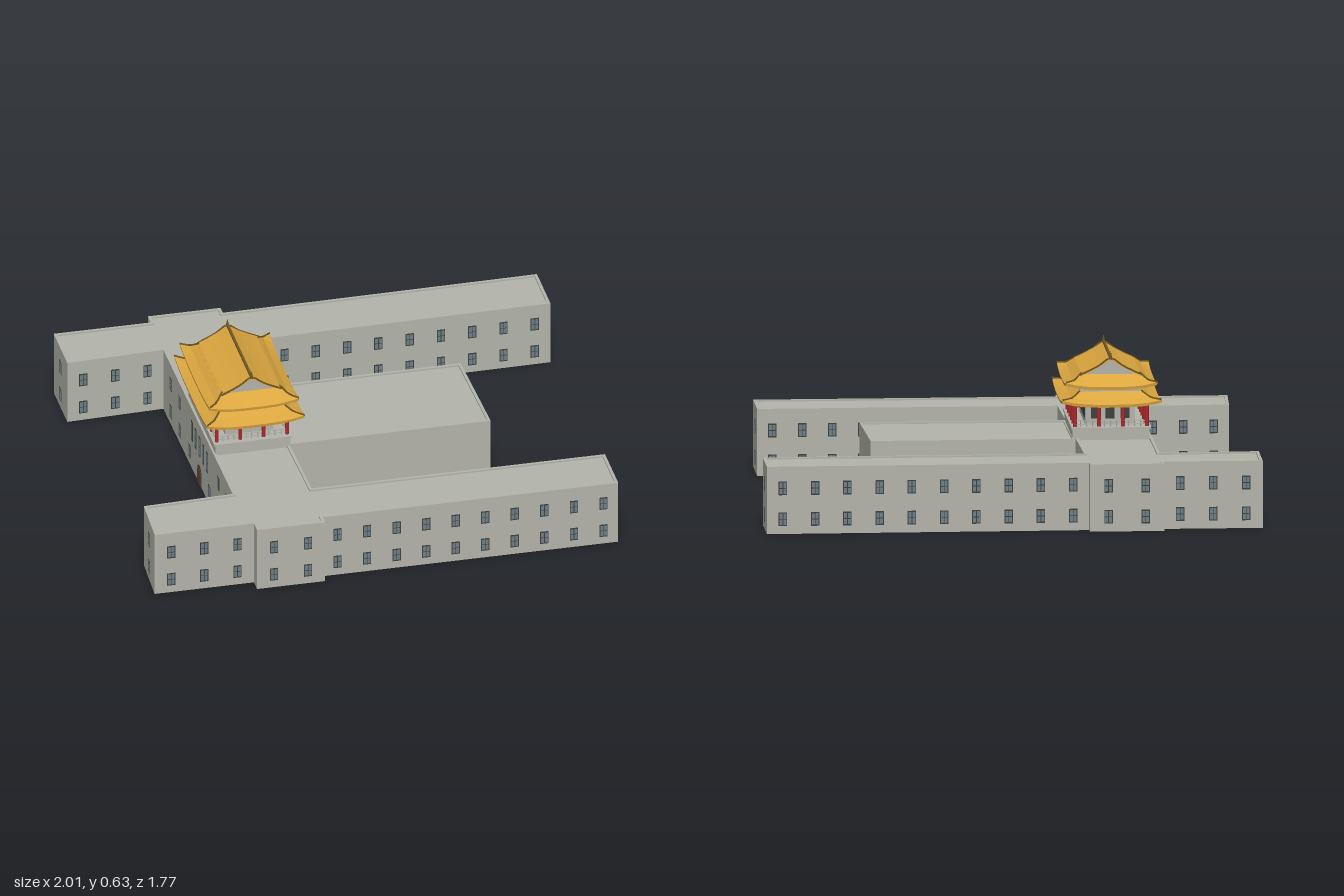
import * as THREE from 'three';
import { mergeGeometries } from 'three/addons/utils/BufferGeometryUtils.js';

const mat = (name, color, side = THREE.FrontSide) => {
  const m = new THREE.MeshStandardMaterial({ color, side });
  m.name = name;
  return m;
};

export function createModel() {
  const stone = mat('stone', 0xb3b4aa, THREE.DoubleSide);
  const gold = mat('goldTile', 0xdba63f, THREE.DoubleSide);
  const ridgeBrown = mat('ridgeBrown', 0x6e5523);
  const red = mat('redLacquer', 0xb0282b);
  const frameDark = mat('windowFrame', 0x3e423f);
  const glass = mat('glass', 0x6d7f88);
  const wood = mat('doorWood', 0x6b4a30);

  const model = new THREE.Group();
  model.name = 'courtyardBuilding';
  const add = (parent, name, geo, material) => {
    const m = new THREE.Mesh(geo, material);
    m.name = name;
    parent.add(m);
    return m;
  };
  const box = (w, h, d, x, y, z) => new THREE.BoxGeometry(w, h, d).translate(x, y, z);

  // Walls: outline extruded upward, with a thin parapet around a slightly sunken roof
  const T = 0.012, H = 0.274;
  const inset = (pts, t) => pts.map((p, i) => {
    const n = pts.length, a = pts[(i + n - 1) % n], b = pts[(i + 1) % n];
    const normal = (u, v) => {
      const l = Math.hypot(v[0] - u[0], v[1] - u[1]);
      return [-(v[1] - u[1]) / l, (v[0] - u[0]) / l];
    };
    const n0 = normal(a, p), n1 = normal(p, b);
    const k = t / (1 + n0[0] * n1[0] + n0[1] * n1[1]);
    return [p[0] + (n0[0] + n1[0]) * k, p[1] + (n0[1] + n1[1]) * k];
  });
  const toShape = (pts, C = THREE.Shape) => new C(pts.map(([x, z]) => new THREE.Vector2(x, -z)));
  const block = (name, pts) => {
    const inner = inset(pts, T), ring = toShape(pts);
    ring.holes.push(toShape(inner, THREE.Path));
    add(model, name + 'Walls', new THREE.ExtrudeGeometry(ring, { depth: H, bevelEnabled: false }).rotateX(-Math.PI / 2), stone);
    add(model, name + 'Roof', new THREE.ShapeGeometry(toShape(inner)).rotateX(-Math.PI / 2).translate(0, H - 0.007, 0), stone);
  };
  const outline = [
    [-1, -0.835], [-0.6, -0.835], [-0.6, -0.885], [-0.3, -0.885], [-0.3, -0.845],
    [1, -0.86], [1, -0.62], [-0.295, -0.605], [-0.27, 0.605], [0.94, 0.605],
    [0.94, 0.84], [-0.28, 0.84], [-0.28, 0.88], [-0.56, 0.88], [-0.56, 0.825],
    [-0.97, 0.825], [-0.96, 0.59], [-0.59, 0.575], [-0.6, -0.61], [-1, -0.595],
  ];
  block('mainBuilding', outline);
  block('hall', [[-0.285, -0.235], [0.54, -0.235], [0.553, 0.24], [-0.28, 0.24]]);

  // Windows: frames pass through the wall, with four panes showing on both faces
  const frames = [], panes = [];
  const place = (edge, t) => {
    const a = outline[edge], b = outline[(edge + 1) % outline.length];
    const dx = b[0] - a[0], dz = b[1] - a[1], l = Math.hypot(dx, dz);
    return new THREE.Matrix4().makeRotationY(-Math.atan2(dz, dx)).setPosition(
      a[0] + dx * t - dz / l * T / 2, 0, a[1] + dz * t + dx / l * T / 2);
  };
  const addWindow = (m, y, w = 0.034, h = 0.056) => {
    frames.push(box(w, h, 0.015, 0, y, 0).applyMatrix4(m));
    for (const sx of [-1, 1]) for (const sy of [-1, 1])
      panes.push(box(w * 0.36, h * 0.38, 0.017, sx * w * 0.22, y + sy * h * 0.22, 0).applyMatrix4(m));
  };
  const twoRows = (edge, t) => { for (const y of [0.06, 0.186]) addWindow(place(edge, t), y); };
  const counts = { 0: 3, 2: 2, 4: 10, 5: 1, 6: 10, 8: 10, 9: 1, 10: 10, 12: 2, 14: 3, 15: 1, 16: 3, 18: 3, 19: 1 };
  for (const [e, n] of Object.entries(counts))
    for (let i = 0; i < n; i++) twoRows(Number(e), (i + 0.5) / n);
  for (const z of [0.52, 0.335, -0.295, -0.415, -0.54]) twoRows(7, (z + 0.605) / 1.21);
  const facade = z => (0.575 - z) / 1.185;
  for (const z of [0.48, 0.33, -0.33, -0.48]) twoRows(17, facade(z));
  for (const z of [0.18, -0.16]) addWindow(place(17, facade(z)), 0.06);
  for (let i = -2; i <= 2; i++) addWindow(place(17, facade(0.01 + i * 0.065)), 0.175, 0.026, 0.09);
  add(model, 'windowFrames', mergeGeometries(frames), frameDark);
  add(model, 'windowPanes', mergeGeometries(panes), glass);

  // Arched entrance in the middle of the outer facade
  const arch = (r, h, d) => {
    const s = new THREE.Shape();
    s.moveTo(-r, 0).lineTo(r, 0).lineTo(r, h);
    s.absarc(0, h, r, 0, Math.PI, false);
    s.lineTo(-r, 0);
    return new THREE.ExtrudeGeometry(s, { depth: d, bevelEnabled: false, curveSegments: 8 })
      .translate(0, 0, -d / 2).applyMatrix4(place(17, facade(0.01)));
  };
  add(model, 'doorSurround', arch(0.032, 0.055, 0.016), frameDark);
  add(model, 'door', arch(0.023, 0.055, 0.019), wood);

  // Pavilion on the roof
  const pav = new THREE.Group();
  pav.name = 'pavilion';
  pav.position.set(-0.43, 0, 0.01);
  model.add(pav);
  add(pav, 'plinth', box(0.31, 0.05, 0.48, 0, 0.286, 0), stone);
  add(pav, 'plinthCap', box(0.322, 0.009, 0.492, 0, 0.315, 0), stone);
  add(pav, 'lowerRoom', box(0.2, 0.12, 0.35, 0, 0.375, 0), stone);
  add(pav, 'upperRoom', box(0.25, 0.07, 0.41, 0, 0.46, 0), stone);

  // Columns, railing and lintels around the gallery
  const cx = 0.145, cz = 0.22, columns = [], rails = [], lattice = [];
  for (let i = 0; i < 4; i++) for (let j = 0; j < 6; j++) {
    if (i % 3 && j % 5) continue;
    columns.push(new THREE.CylinderGeometry(0.008, 0.008, 0.096, 8)
      .translate(-cx + i * cx * 2 / 3, 0.367, -cz + j * cz * 2 / 5));
  }
  for (const s of [-1, 1]) {
    for (const y of [0.329, 0.342]) {
      rails.push(box(cx * 2, 0.004, 0.005, 0, y, s * cz), box(0.005, 0.004, cz * 2, s * cx, y, 0));
    }
    for (let i = 0; i <= 12; i++) rails.push(box(0.005, 0.03, 0.005, -cx + i * cx / 6, 0.331, s * cz));
    for (let i = 0; i <= 20; i++) rails.push(box(0.005, 0.03, 0.005, s * cx, 0.331, -cz + i * cz / 10));
    for (let i = -1; i <= 1; i++) lattice.push(box(0.035, 0.05, 0.004, i * 0.06, 0.37, s * 0.175));
    for (let i = -2; i <= 2; i++) lattice.push(box(0.004, 0.05, 0.04, s * 0.1, 0.37, i * 0.066));
  }
  add(pav, 'columns', mergeGeometries(columns), red);
  add(pav, 'railing', mergeGeometries(rails), stone);
  add(pav, 'roomWindows', mergeGeometries(lattice), frameDark);
  for (const s of [-1, 1]) {
    add(pav, 'lintel', box(cx * 2 + 0.012, 0.012, 0.012, 0, 0.404, s * cz), red);
    add(pav, 'lintel', box(0.012, 0.012, cz * 2, s * cx, 0.404, 0), red);
  }

  // Skirt roofs: rings of [halfX, halfZ, y, cornerLift] joined from inside to outside
  const N = 8;
  const ringPoints = ([hx, hz, y, lift]) => {
    const pts = [];
    for (let s = 0; s < 4; s++) for (let i = 0; i < N; i++) {
      const t = -1 + 2 * i / N, yy = y + lift * Math.abs(t) ** 3;
      pts.push([[t * hx, yy, hz], [hx, yy, -t * hz], [-t * hx, yy, -hz], [-hx, yy, t * hz]][s]);
    }
    return pts;
  };
  const skirt = (name, rings) => {
    const R = rings.map(ringPoints), pos = [];
    for (let r = 0; r < R.length - 1; r++) for (let j = 0; j < 4 * N; j++) {
      const k = (j + 1) % (4 * N), a = R[r][j], b = R[r][k], c = R[r + 1][j], d = R[r + 1][k];
      pos.push(...c, ...d, ...b, ...c, ...b, ...a);
    }
    const g = new THREE.BufferGeometry();
    g.setAttribute('position', new THREE.Float32BufferAttribute(pos, 3));
    g.computeVertexNormals();
    add(pav, name, g, gold);
    // Hip ridges follow the corners of the first three rings
    for (const sx of [-1, 1]) for (const sz of [-1, 1]) {
      const path = rings.slice(0, 3).map(([hx, hz, y, l]) => new THREE.Vector3(sx * hx, y + l + 0.002, sz * hz));
      add(pav, 'hipRidge', new THREE.TubeGeometry(new THREE.CatmullRomCurve3(path), 6, 0.004, 5), ridgeBrown);
    }
  };
  skirt('lowerRoof', [[0.125, 0.205, 0.46, 0], [0.16, 0.25, 0.435, 0.004], [0.202, 0.291, 0.418, 0.018],
    [0.2, 0.289, 0.406, 0.018], [0.11, 0.19, 0.425, 0]]);
  skirt('upperRoofSkirt', [[0.118, 0.2, 0.534, 0], [0.15, 0.235, 0.505, 0.004], [0.185, 0.266, 0.486, 0.018],
    [0.183, 0.264, 0.474, 0.018], [0.11, 0.19, 0.488, 0]]);

  // Gabled upper roof with concave slopes, stone gable ends and a ridge
  const half = [[0.125, 0.529], [0.085, 0.547], [0.045, 0.568], [0, 0.597]];
  const curve = [...half, ...half.slice(0, 3).reverse().map(([x, y]) => [-x, y])];
  const slab = [...curve, ...[...curve].reverse().map(([x, y]) => [x, y - 0.008])];
  const along = (pts, d) => new THREE.ExtrudeGeometry(
    new THREE.Shape(pts.map(p => new THREE.Vector2(...p))), { depth: d, bevelEnabled: false }).translate(0, 0, -d / 2);
  add(pav, 'upperRoof', along(slab, 0.43), gold);
  add(pav, 'gableWalls', along(curve.map(([x, y]) => [x, y - 0.005]), 0.41), stone);
  add(pav, 'mainRidge', box(0.01, 0.012, 0.43, 0, 0.595, 0), ridgeBrown);
  for (const s of [-1, 1]) {
    const edge = curve.map(([x, y]) => new THREE.Vector3(x, y, s * 0.215));
    add(pav, 'gableEdge', new THREE.TubeGeometry(new THREE.CatmullRomCurve3(edge), 16, 0.0035, 5), ridgeBrown);
    add(pav, 'ridgeFinial', new THREE.ConeGeometry(0.008, 0.034, 6).translate(0, 0.609, s * 0.215), ridgeBrown);
  }
  return model;
}
